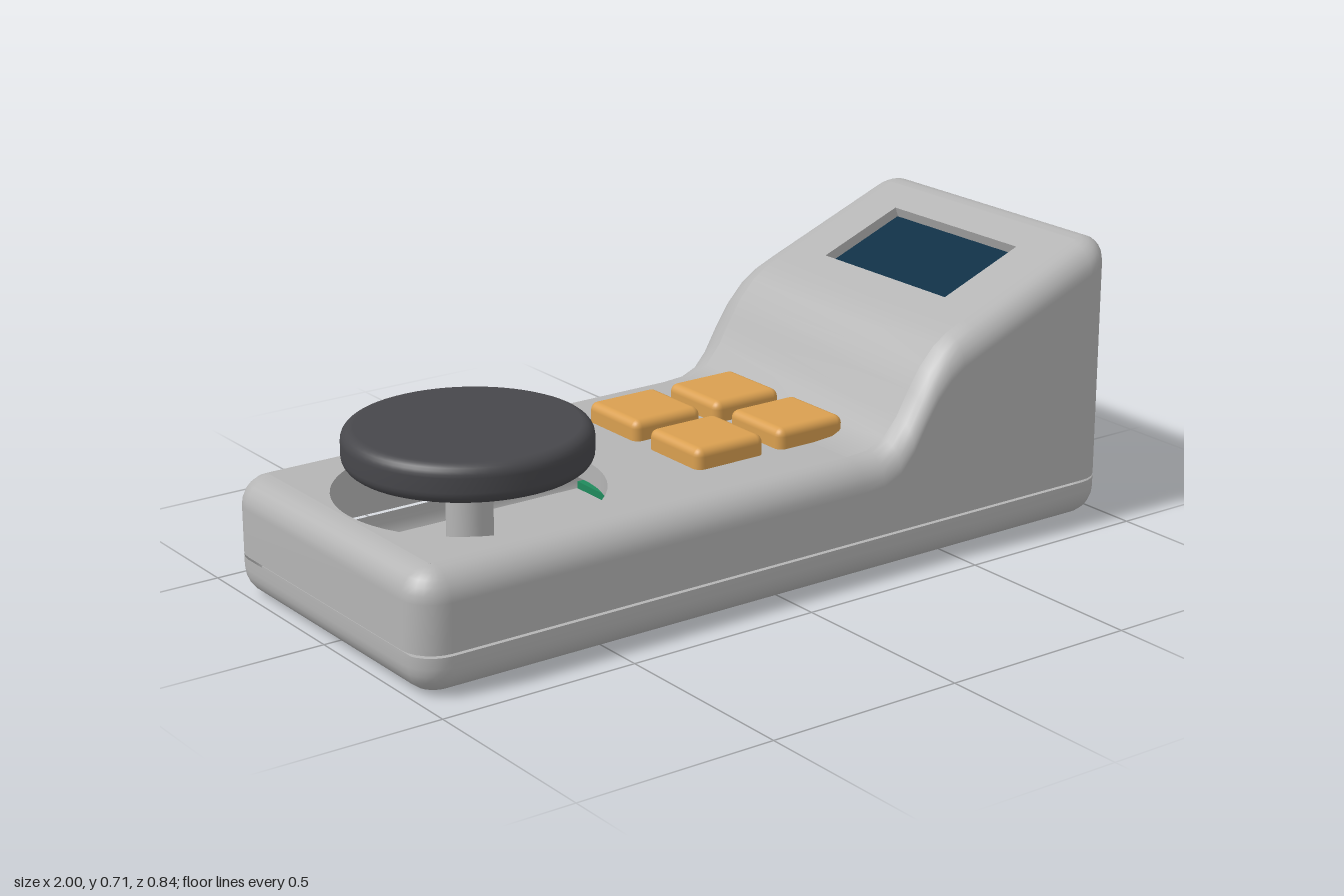
import * as THREE from 'three';
import { RoundedBoxGeometry } from 'three/addons/geometries/RoundedBoxGeometry.js';

const CX = 0.92, CZ = 0.34, R = 0.08, RIM = 0.07, SEAM = 0.103;
// Top profile: flat deck, curved rise, then a straight display slope
const RISE = [[0.22, 0.29], [0.28, 0.294], [0.33, 0.315], [0.37, 0.36], [0.405, 0.42],
  [0.44, 0.473], [0.48, 0.515], [0.52, 0.542], [0.57, 0.563]];
const SLOPE = 0.39;

function topHeight(x) {
  if (x <= 0.22) return 0.29;
  if (x >= 0.57) return 0.563 + SLOPE * (x - 0.57);
  const i = RISE.findIndex(p => p[0] >= x - 1e-6);
  const [a, b] = [RISE[Math.max(i - 1, 0)], RISE[Math.max(i, 1)]];
  return a[1] + (b[1] - a[1]) * (x - a[0]) / (b[0] - a[0]);
}

// Rounded rectangle in plan, inset by d; the last segment is the straight +x end
function ring(inset, height) {
  const pts = [], r = R - inset, n = 6;
  const corners = [[1, 1], [-1, 1], [-1, -1], [1, -1]];
  const xs = RISE.map(p => p[0]);
  corners.forEach(([sx, sz], c) => {
    for (let i = 0; i <= n; i++) {
      const a = (c + i / n) * Math.PI / 2;
      pts.push([sx * CX + r * Math.cos(a), sz * CZ + r * Math.sin(a)]);
    }
    if (c === 0) [...xs].reverse().forEach(x => pts.push([x, CZ + r]));
    if (c === 2) xs.forEach(x => pts.push([x, -CZ - r]));
  });
  return pts.map(([x, z]) => [x, height(x), z]);
}

// Skin between rings stacked from bottom to top
function loft(rings, openEnd) {
  const n = rings[0].length, index = [];
  for (let k = 0; k < rings.length - 1; k++) {
    for (let i = 0; i < n; i++) {
      if (openEnd && k === 0 && i === n - 1) continue;
      const a = k * n + i, b = k * n + (i + 1) % n;
      index.push(a, a + n, b, b, a + n, b + n);
    }
  }
  const g = new THREE.BufferGeometry();
  g.setAttribute('position', new THREE.Float32BufferAttribute(rings.flat(2), 3));
  g.setIndex(index);
  g.computeVertexNormals();
  return g;
}

function rect(T, x0, y0, x1, y1, r = 0) {
  const s = new T();
  s.moveTo(x0 + r, y0);
  s.lineTo(x1 - r, y0);
  if (r) s.absarc(x1 - r, y0 + r, r, -Math.PI / 2, 0);
  s.lineTo(x1, y1 - r);
  if (r) s.absarc(x1 - r, y1 - r, r, 0, Math.PI / 2);
  s.lineTo(x0 + r, y1);
  if (r) s.absarc(x0 + r, y1 - r, r, Math.PI / 2, Math.PI);
  s.lineTo(x0, y0 + r);
  if (r) s.absarc(x0 + r, y0 + r, r, Math.PI, Math.PI * 1.5);
  return s;
}

function circleHole(x, y, r) {
  return new THREE.Path().absarc(x, y, r, 0, Math.PI * 2, true);
}

function slab(shape, depth) {
  return new THREE.ExtrudeGeometry(shape, { depth, bevelEnabled: false, curveSegments: 32 });
}

export function createModel() {
  const model = new THREE.Group();
  model.name = 'handheldController';
  const mat = (name, color, side = THREE.FrontSide) =>
    Object.assign(new THREE.MeshStandardMaterial({ color, side }), { name });
  const shell = mat('shellGrey', 0xb4b4b4, THREE.DoubleSide);
  const dark = mat('dialCharcoal', 0x47474b);
  const amber = mat('buttonAmber', 0xd99f50);
  const navy = mat('screenNavy', 0x0d2f45);
  const green = mat('boardGreen', 0x1f8a5c);
  const add = (name, geometry, material, parent = model) => {
    const m = new THREE.Mesh(geometry, material);
    m.name = name;
    parent.add(m);
    return m;
  };
  const steps = [0, 1, 2, 3, 4, 5, 6].map(i => i / 6 * Math.PI / 2);

  // Lower shell with rounded underside
  const lower = steps.map(a => ring(RIM * (1 - Math.sin(a)), () => RIM * (1 - Math.cos(a))));
  lower.push(ring(0, () => 0.097));
  add('lowerShell', loft(lower), shell);
  add('underside', new THREE.PlaneGeometry(1.86, 0.7).rotateX(Math.PI / 2), shell);
  add('innerFloor', new THREE.BoxGeometry(1.9, 0.02, 0.74).translate(0, 0.05, 0), shell);

  // Upper shell walls and rounded rim
  const upper = [ring(0, () => SEAM)];
  steps.forEach(a => upper.push(ring(RIM * (1 - Math.cos(a)),
    x => topHeight(x) - RIM * (1 - Math.sin(a)))));
  add('upperShell', loft(upper, true), shell);

  // End wall with cable slot and round hole
  const end = rect(THREE.Shape, -CZ, SEAM, CZ, topHeight(1) - RIM);
  end.holes.push(rect(THREE.Path, -0.093, 0.11, 0.093, 0.178, 0.032), circleHole(-0.235, 0.425, 0.03));
  add('endWall', slab(end, 0.04).rotateY(Math.PI / 2).translate(0.96, 0, 0), shell);

  // Flat deck with dial opening
  const deck = rect(THREE.Shape, -0.93, -0.35, 0.22, 0.35);
  deck.holes.push(circleHole(-0.605, 0.003, 0.317));
  add('deck', slab(deck, 0.05).rotateX(-Math.PI / 2).translate(0, 0.24, 0), shell);

  // Curved rise between deck and display
  const rise = new THREE.PlaneGeometry(0.35, 0.7, RISE.length - 1, 1).rotateX(-Math.PI / 2);
  const p = rise.attributes.position;
  for (let i = 0; i < p.count; i++) {
    const [x, y] = RISE[i % RISE.length];
    p.setX(i, x);
    p.setY(i, y);
  }
  rise.computeVertexNormals();
  add('curvedRise', rise, shell);

  // Sloped display head with recessed screen
  const head = new THREE.Group();
  head.name = 'displayHead';
  head.position.set(0.57, 0.563, 0);
  head.rotation.z = Math.atan(SLOPE);
  model.add(head);
  const bezel = rect(THREE.Shape, 0, -0.35, 0.36 * Math.hypot(1, SLOPE), 0.35);
  bezel.holes.push(rect(THREE.Path, 0.053, -0.228, 0.298, 0.232));
  add('bezel', slab(bezel, 0.04).rotateX(-Math.PI / 2).translate(0, -0.04, 0), shell, head);
  add('screenBoard', new THREE.BoxGeometry(0.26, 0.012, 0.48).translate(0.175, -0.036, 0), green, head);
  add('screen', new THREE.BoxGeometry(0.226, 0.008, 0.446).translate(0.18, -0.026, -0.004), navy, head);

  // Main circuit board showing in the seam
  add('circuitBoard', new THREE.BoxGeometry(1.06, 0.018, 0.58).translate(0.42, 0.104, 0), green);

  // Dial and its shaft
  const profile = [new THREE.Vector2(0, 0.35)];
  [[0.38, -Math.PI / 2], [0.415, 0]].forEach(([y, start]) => {
    for (let i = 0; i <= 6; i++) {
      const a = start + i / 6 * Math.PI / 2;
      profile.push(new THREE.Vector2(0.26 + 0.03 * Math.cos(a), y + 0.03 * Math.sin(a)));
    }
  });
  profile.push(new THREE.Vector2(0, 0.445));
  add('dial', new THREE.LatheGeometry(profile, 64).translate(-0.605, 0, -0.003), dark);
  add('dialShaft', new THREE.CylinderGeometry(0.055, 0.055, 0.3, 32).translate(-0.605, 0.205, -0.003), shell);

  // Four push buttons
  for (const x of [-0.021, 0.219]) {
    for (const z of [-0.128, 0.121]) {
      add('button', new RoundedBoxGeometry(0.196, 0.1, 0.2, 3, 0.02).translate(x, 0.29, z), amber);
    }
  }
  return model;
}
